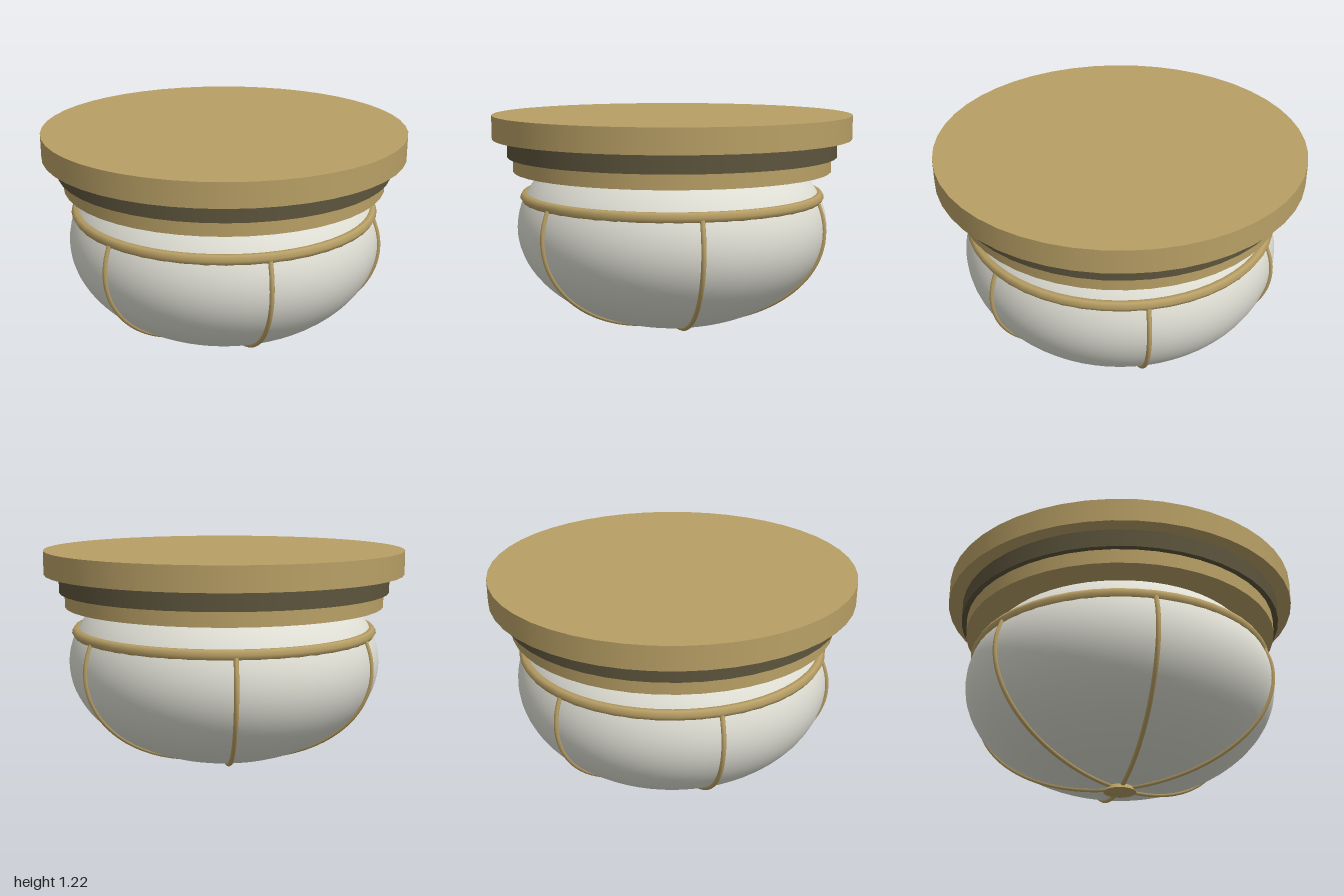
import * as THREE from 'three';

export function createModel() {
  const group = new THREE.Group();
  const brass = new THREE.MeshStandardMaterial({ color: 0xb89f65 });
  brass.name = 'brass';
  const bronze = new THREE.MeshStandardMaterial({ color: 0x5c543c });
  bronze.name = 'dark bronze';
  const glass = new THREE.MeshStandardMaterial({ color: 0xdeded4, side: THREE.DoubleSide });
  glass.name = 'frosted glass';

  const add = (name, geometry, material, y = 0) => {
    const mesh = new THREE.Mesh(geometry, material);
    mesh.name = name;
    mesh.position.y = y;
    group.add(mesh);
    return mesh;
  };
  const disc = (name, radius, bottom, top, material) =>
    add(name, new THREE.CylinderGeometry(radius, radius, top - bottom, 48), material, (top + bottom) / 2);

  // Stepped ceiling mount
  disc('ceilingPlate', 1, 1.09, 1.22, brass);
  disc('darkBand', 0.92, 0.99, 1.09, bronze);
  disc('lowerRing', 0.89, 0.91, 0.99, brass);

  // Glass bowl: an ellipsoid cut off inside the mount
  const centreY = 0.59, bowlR = 0.873, bowlH = 0.566;
  const onBowl = (a, grow = 0) => new THREE.Vector2(
    Math.max(0, (bowlR + grow) * Math.cos(a)), centreY + (bowlH + grow) * Math.sin(a));
  const startA = -Math.PI / 2, endA = Math.asin(0.34 / bowlH);
  const profile = [];
  for (let i = 0; i <= 32; i++) profile.push(onBowl(startA + (endA - startA) * i / 32));
  add('glassBowl', new THREE.LatheGeometry(profile, 64), glass);

  // Hoop around the shoulder of the bowl
  const hoop = new THREE.TorusGeometry(0.825, 0.03, 6, 48).rotateX(Math.PI / 2);
  add('hoop', hoop, brass, 0.765);

  // Six curved ribs from the hoop down to the finial
  const ribTop = Math.asin(0.16 / bowlH);
  const points = [];
  for (let i = 0; i <= 14; i++) {
    const p = onBowl(startA + 0.04 + (ribTop - startA - 0.04) * i / 14, 0.003);
    points.push(new THREE.Vector3(p.x, p.y, 0));
  }
  const ribGeometry = new THREE.TubeGeometry(new THREE.CatmullRomCurve3(points), 40, 0.013, 8);
  for (let i = 0; i < 6; i++) {
    add('rib' + (i + 1), ribGeometry, brass).rotation.y = i * Math.PI / 3;
  }

  // Finial button under the bowl
  add('finial', new THREE.CylinderGeometry(0.07, 0.09, 0.03, 24), brass, 0.015);

  return group;
}
